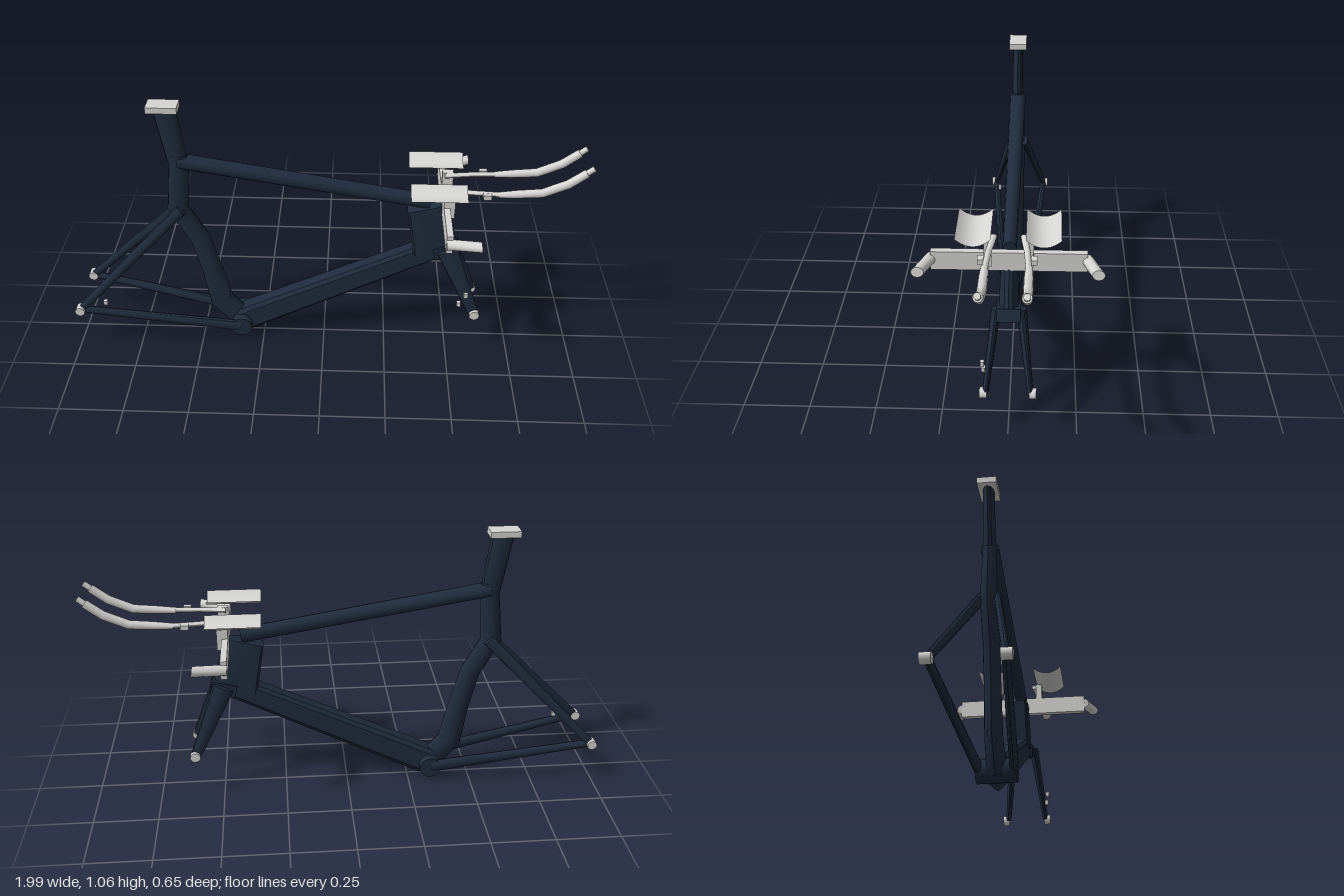
import * as THREE from 'three';
import { toCreasedNormals } from 'three/addons/utils/BufferGeometryUtils.js';

const navy = new THREE.MeshStandardMaterial({ color: 0x1f2c3d });
navy.name = 'navy paint';
const silver = new THREE.MeshStandardMaterial({ color: 0xd6d6d4 });
silver.name = 'silver';
const padSilver = new THREE.MeshStandardMaterial({ color: 0xd6d6d5, side: THREE.DoubleSide });
padSilver.name = 'pad silver';

// Cross-sections as [in-plane, sideways] unit points, counter-clockwise
const oval = Array.from({ length: 12 }, (_, i) => {
  const a = (i / 12) * Math.PI * 2;
  return [Math.cos(a), Math.sin(a)];
});
const keel = [[1, -0.7], [1, 0.7], [0.75, 1], [-0.5, 1], [-1, 0], [-0.5, -1], [0.75, -1]];
const nose = [[1, 0], [0.94, 0.45], [0.75, 0.8], [0.5, 1], [-0.9, 1], [-1, 0.8],
  [-1, -0.8], [-0.9, -1], [0.5, -1], [0.75, -0.8], [0.94, -0.45]];

// Lofts a section through stations [x, y, z, half depth in the xy plane, half width in z]
function loft(name, stations, section, material) {
  const pos = [], index = [], n = section.length, last = stations.length - 1;
  stations.forEach(([x, y, z, depth, width], i) => {
    const p = stations[Math.max(i - 1, 0)], q = stations[Math.min(i + 1, last)];
    const len = Math.hypot(q[0] - p[0], q[1] - p[1]);
    const nx = -(q[1] - p[1]) / len, ny = (q[0] - p[0]) / len;
    for (const [u, v] of section) pos.push(x + nx * u * depth, y + ny * u * depth, z + v * width);
  });
  for (let i = 0; i < last; i++) {
    for (let j = 0; j < n; j++) {
      const a = i * n + j, b = i * n + ((j + 1) % n);
      index.push(a, b, b + n, a, b + n, a + n);
    }
  }
  for (let j = 1; j < n - 1; j++) {
    index.push(0, j + 1, j, last * n, last * n + j, last * n + j + 1);
  }
  const geo = new THREE.BufferGeometry();
  geo.setAttribute('position', new THREE.Float32BufferAttribute(pos, 3));
  geo.setIndex(index);
  const mesh = new THREE.Mesh(toCreasedNormals(geo, 0.6), material);
  mesh.name = name;
  return mesh;
}

function box(name, size, at, material, tilt = 0) {
  const mesh = new THREE.Mesh(new THREE.BoxGeometry(...size), material);
  mesh.position.set(...at);
  mesh.rotation.z = tilt;
  mesh.name = name;
  return mesh;
}

// Cylinder whose axis runs across the frame
function axle(name, radius, length, at, material) {
  const mesh = new THREE.Mesh(new THREE.CylinderGeometry(radius, radius, length, 20), material);
  mesh.rotation.x = Math.PI / 2;
  mesh.position.set(...at);
  mesh.name = name;
  return mesh;
}

export function createModel() {
  const bike = new THREE.Group();
  bike.name = 'bicycleFrame';

  // Seat post, seat clamp and curved seat tube
  bike.add(
    box('seatClamp', [0.115, 0.024, 0.07], [-0.588, 1.05, 0], silver),
    loft('seatPost', [[-0.585, 1.045, 0, 0.043, 0.021], [-0.55, 0.82, 0, 0.04, 0.022]], oval, navy),
    loft('seatTube', [[-0.549, 0.85, 0, 0.038, 0.024], [-0.548, 0.81, 0, 0.038, 0.026],
      [-0.567, 0.61, 0, 0.042, 0.03], [-0.492, 0.475, 0, 0.041, 0.03], [-0.452, 0.32, 0, 0.043, 0.03],
      [-0.42, 0.16, 0, 0.05, 0.032], [-0.34, 0.07, 0, 0.05, 0.035]], oval, navy),
  );

  // Main triangle
  bike.add(
    loft('topTube', [[-0.55, 0.823, 0, 0.029, 0.033], [0.405, 0.664, 0, 0.03, 0.025]], oval, navy),
    loft('downTube', [[-0.33, 0.064, 0, 0.064, 0.038], [0.44, 0.443, 0, 0.05, 0.032]], keel, navy),
    loft('headTube', [[0.392, 0.643, 0, 0.073, 0.029], [0.44, 0.447, 0, 0.09, 0.035]], nose, navy),
    axle('bottomBracket', 0.043, 0.14, [-0.338, 0.068, 0], navy),
    box('forkCrown', [0.1, 0.05, 0.085], [0.482, 0.452, 0], navy, 0.27),
  );

  for (const s of [1, -1]) {
    // Rear stays, fork blades and wheel mounts
    bike.add(
      loft('chainStay', [[-0.34, 0.07, s * 0.06, 0.026, 0.016], [-0.975, 0.184, s * 0.114, 0.016, 0.013]], oval, navy),
      loft('seatStay', [[-0.55, 0.62, s * 0.03, 0.023, 0.014], [-0.975, 0.186, s * 0.114, 0.016, 0.012]], oval, navy),
      axle('rearDropout', 0.019, 0.036, [-0.98, 0.183, s * 0.118], silver),
      loft('forkBlade', [[0.482, 0.465, s * 0.045, 0.042, 0.018], [0.603, 0.185, s * 0.08, 0.021, 0.011]], oval, navy),
      axle('frontDropout', 0.02, 0.026, [0.606, 0.184, s * 0.088], silver),
    );

    // Handlebar wing and grip
    bike.add(
      loft('baseBarWing', [[0.463, 0.618, s * 0.135, 0.012, 0.135], [0.463, 0.69, s * 0.135, 0.012, 0.135]],
        [[1, -1], [1, 1], [-1, 1], [-1, -1]], silver),
      loft('grip', [[0.452, 0.655, s * 0.268, 0.02, 0.022], [0.575, 0.671, s * 0.303, 0.019, 0.022]], oval, silver),
      box('padPost', [0.042, 0.11, 0.026], [0.472, 0.7, s * 0.072], silver),
    );

    // Arm pad: an open, upward-curving sheet
    const pad = new THREE.PlaneGeometry(0.21, 0.12, 1, 10).rotateX(-Math.PI / 2);
    const p = pad.attributes.position;
    for (let i = 0; i < p.count; i++) p.setY(i, 0.028 * (p.getZ(i) / 0.06) ** 2);
    pad.computeVertexNormals();
    const padMesh = new THREE.Mesh(pad, padSilver);
    padMesh.position.set(0.43, 0.75, s * 0.119);
    padMesh.name = 'armPad';
    bike.add(padMesh);

    // Extension bar with slim bracket and tip
    bike.add(
      loft('extensionBracket', [[0.46, 0.747, s * 0.052, 0.009, 0.012], [0.56, 0.747, s * 0.065, 0.009, 0.011],
        [0.67, 0.746, s * 0.072, 0.009, 0.01]], oval, silver),
      loft('extensionBar', [[0.65, 0.745, s * 0.072, 0.011, 0.013], [0.72, 0.75, s * 0.072, 0.015, 0.016],
        [0.81, 0.757, s * 0.072, 0.017, 0.016], [0.9, 0.798, s * 0.072, 0.017, 0.016],
        [0.962, 0.847, s * 0.072, 0.016, 0.016]], oval, silver),
      loft('extensionTip', [[0.955, 0.842, s * 0.072, 0.011, 0.011], [0.985, 0.867, s * 0.072, 0.011, 0.011]], oval, silver),
      box('bracketClamp', [0.03, 0.018, 0.02], [0.607, 0.747, s * 0.088], silver),
    );
  }

  // Small brake-line bosses on the left side
  for (const [x, y, z] of [[0.565, 0.283, 0.093], [0.54, 0.238, 0.091], [-0.88, 0.205, 0.095]]) {
    bike.add(box('lineBoss', [0.016, 0.02, 0.014], [x, y, z], silver));
  }
  return bike;
}
